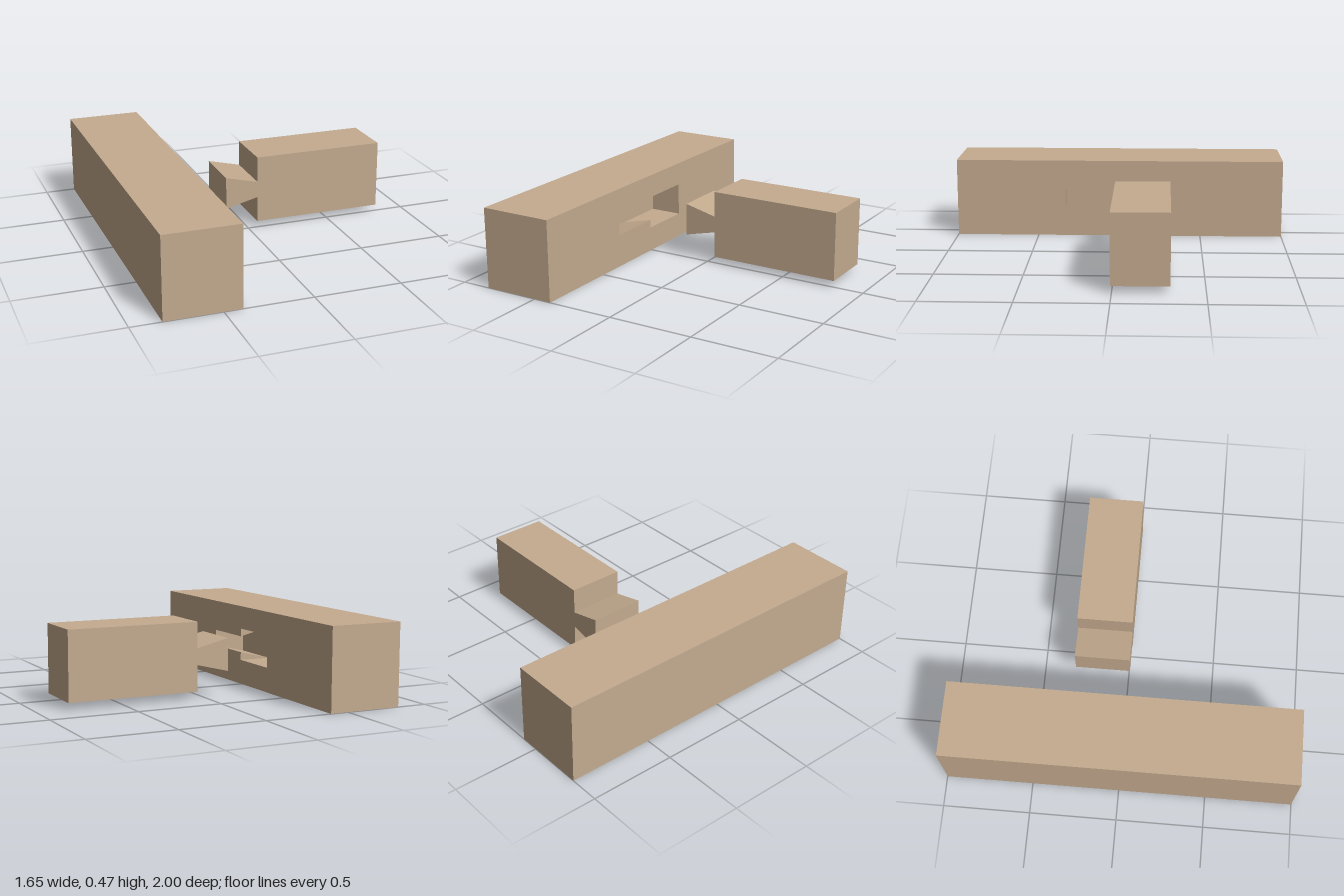
import * as THREE from 'three';

// Beam ends and faces
const LEFT = -0.825, FACE = -0.395, HEIGHT = 0.47;
// Dovetail: wide (W) and narrow (N) heights about a shared centre line
const MID = 0.24, W0 = 0.145, W1 = 0.335, N0 = 0.192, N1 = 0.288;
const DEPTH = 0.193, DEEP = FACE - DEPTH;
// Socket: wide entry from Z0 to Z1, undercut slot from Z1 to Z2
const Z0 = -0.31, Z1 = 0.008, Z2 = 0.335;

const outline = (pts) => new THREE.Shape(pts.map(([x, y]) => new THREE.Vector2(x, y)));

// Flat polygons, each fanned into triangles
function polygons(list) {
  const pos = [];
  for (const p of list) {
    for (let i = 1; i < p.length - 1; i++) pos.push(...p[0], ...p[i], ...p[i + 1]);
  }
  const g = new THREE.BufferGeometry();
  g.setAttribute('position', new THREE.Float32BufferAttribute(pos, 3));
  g.computeVertexNormals();
  return g;
}

// Mirror a polygon about the dovetail centre line
const flip = (p) => p.map(([x, y, z]) => [x, 2 * MID - y, z]).reverse();

export function createModel() {
  const model = new THREE.Group();
  model.name = 'dovetailJoint';
  const wood = new THREE.MeshStandardMaterial({ color: 0xc4ab8f });
  wood.name = 'wood';
  const add = (parent, name, geometry) => {
    const mesh = new THREE.Mesh(geometry, wood);
    mesh.name = name;
    parent.add(mesh);
    return mesh;
  };

  const beam = new THREE.Group();
  beam.name = 'beam';
  model.add(beam);

  // Beam body: a box left open on the socket side
  const body = new THREE.BoxGeometry(FACE - LEFT, HEIGHT, 2);
  body.setIndex(Array.from(body.index.array).slice(6));
  body.clearGroups();
  body.translate((LEFT + FACE) / 2, HEIGHT / 2, 0);
  add(beam, 'beamBody', body);

  // Socket side of the beam, with the T-shaped opening
  const side = outline([[-1, 0], [1, 0], [1, HEIGHT], [-1, HEIGHT]]);
  side.holes.push(outline([
    [-Z2, N0], [-Z2, N1], [-Z1, N1], [-Z1, W1],
    [-Z0, W1], [-Z0, W0], [-Z1, W0], [-Z1, N0],
  ]));
  const sideGeometry = new THREE.ShapeGeometry(side);
  sideGeometry.rotateY(Math.PI / 2).translate(FACE, 0, 0);
  add(beam, 'beamSocketSide', sideGeometry);

  // Socket walls: lower faces are mirrored to make the upper ones
  const lower = [
    [[DEEP, W0, Z1], [FACE, W0, Z1], [FACE, W0, Z0], [DEEP, W0, Z0]],
    [[DEEP, W0, Z2], [FACE, N0, Z2], [FACE, N0, Z1], [DEEP, W0, Z1]],
    [[DEEP, W0, Z1], [FACE, N0, Z1], [FACE, W0, Z1]],
  ];
  add(beam, 'socket', polygons([
    ...lower,
    ...lower.map(flip),
    [[DEEP, W0, Z2], [DEEP, W0, Z0], [DEEP, W1, Z0], [DEEP, W1, Z2]],
    [[DEEP, W0, Z0], [FACE, W0, Z0], [FACE, W1, Z0], [DEEP, W1, Z0]],
    [[DEEP, W0, Z2], [DEEP, W1, Z2], [FACE, N1, Z2], [FACE, N0, Z2]],
  ]));

  // Rail with its dovetail tenon, one outline run along z
  const SHOULDER = 0.053, END = 0.825, R0 = 0.04, R1 = 0.438;
  const tip = SHOULDER - DEPTH;
  const rail = new THREE.ExtrudeGeometry(outline([
    [tip, W0], [SHOULDER, N0], [SHOULDER, R0], [END, R0],
    [END, R1], [SHOULDER, R1], [SHOULDER, N1], [tip, W1],
  ]), { depth: Z1 - Z0, bevelEnabled: false });
  rail.translate(0, 0, Z0);
  add(model, 'railWithTenon', rail);

  return model;
}
